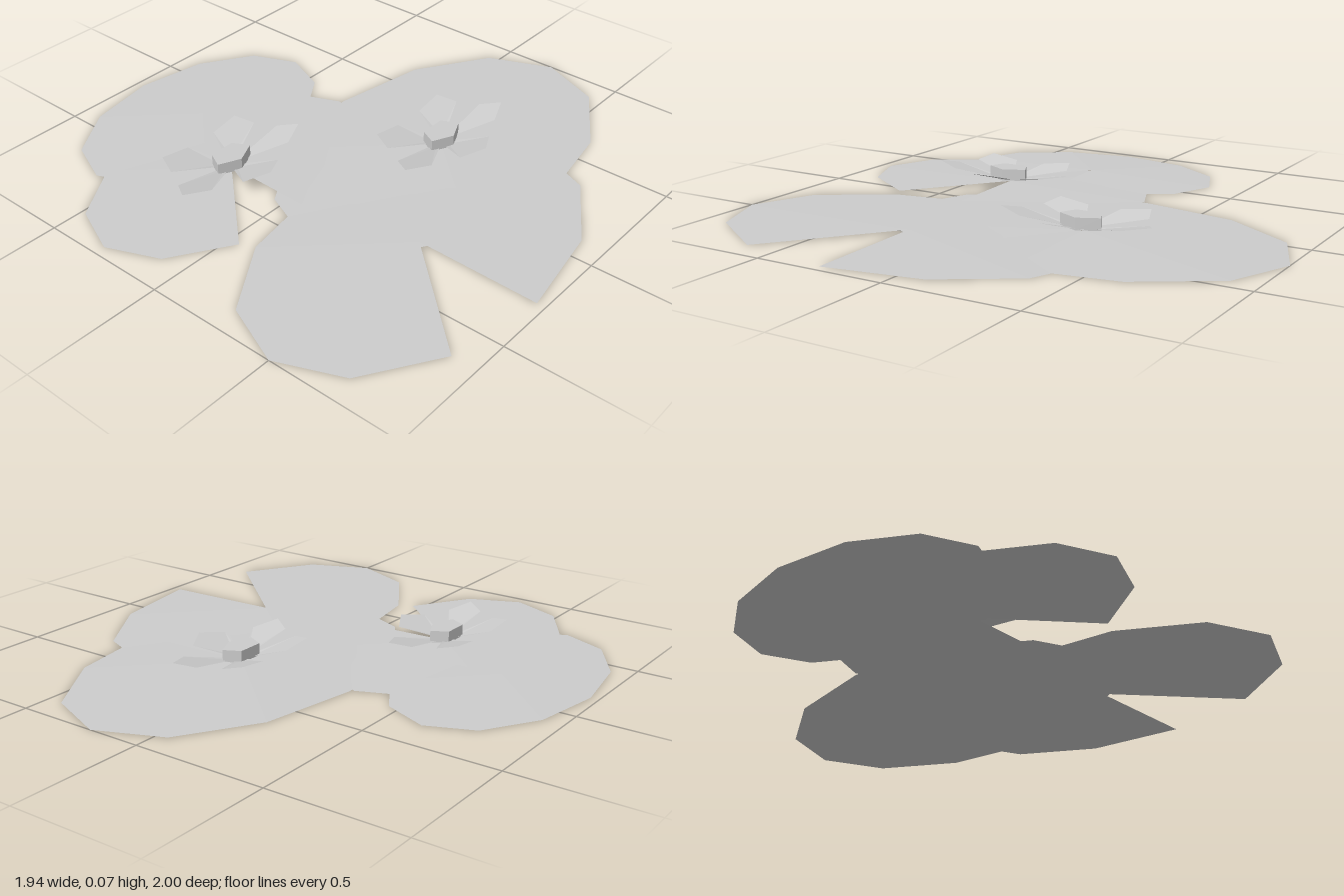
import * as THREE from 'three';

const grey = new THREE.MeshStandardMaterial({ color: 0xcccccc, flatShading: true, side: THREE.DoubleSide });
grey.name = 'pale grey';

const SQUASH = 0.64; // pads and flowers are narrower in x than in z

function part(geometry, name) {
  const mesh = new THREE.Mesh(geometry, grey);
  mesh.name = name;
  return mesh;
}

// Shallow twelve-sided fan with one slice missing
function makePad(x, z, radius) {
  const rise = 0.008;
  const geo = new THREE.ConeGeometry(1, rise, 11, 1, true, Math.PI / 2, (Math.PI * 11) / 6);
  geo.translate(0, rise / 2, 0);
  geo.scale(radius * SQUASH, 1, radius);
  const pad = part(geo, 'lilyPad');
  pad.position.set(x, 0, z);
  return pad;
}

// Kite-like petal, folded along its middle and rising to the tip
function petalGeometry(angle) {
  const geo = new THREE.BufferGeometry();
  geo.setAttribute('position', new THREE.Float32BufferAttribute([
    0.05, 0.02, 0,
    0.07, 0.027, 0.03,
    0.234, 0.057, 0.09,
    0.31, 0.072, 0,
    0.234, 0.057, -0.09,
    0.07, 0.027, -0.03,
  ], 3));
  geo.setIndex([0, 1, 2, 0, 2, 3, 0, 3, 4, 0, 4, 5]);
  geo.rotateY(angle);
  geo.scale(SQUASH, 1, 1);
  geo.computeVertexNormals();
  return geo;
}

function makeFlower(x, z) {
  const flower = new THREE.Group();
  flower.name = 'flower';
  const heart = new THREE.CylinderGeometry(0.086, 0.086, 0.045, 5, 1, false, Math.PI / 2);
  heart.scale(SQUASH, 1, 1);
  heart.translate(0, 0.0435, 0);
  flower.add(part(heart, 'flowerCentre'));
  for (let i = 0; i < 5; i++) {
    flower.add(part(petalGeometry((i * Math.PI * 2) / 5), 'petal'));
  }
  flower.position.set(x, 0, z);
  return flower;
}

export function createModel() {
  const model = new THREE.Group();
  model.name = 'waterLilies';

  // Overlapping pads: x, z, radius
  const pads = [
    [0.2, -0.25, 0.75],
    [0.5, 0.27, 0.73],
    [-0.29, 0.36, 0.6],
    [-0.63, 0.175, 0.53],
  ];
  for (const p of pads) model.add(makePad(...p));

  // Flowers sit on the middles of two pads
  model.add(makeFlower(0.2, -0.25), makeFlower(-0.29, 0.36));
  return model;
}
